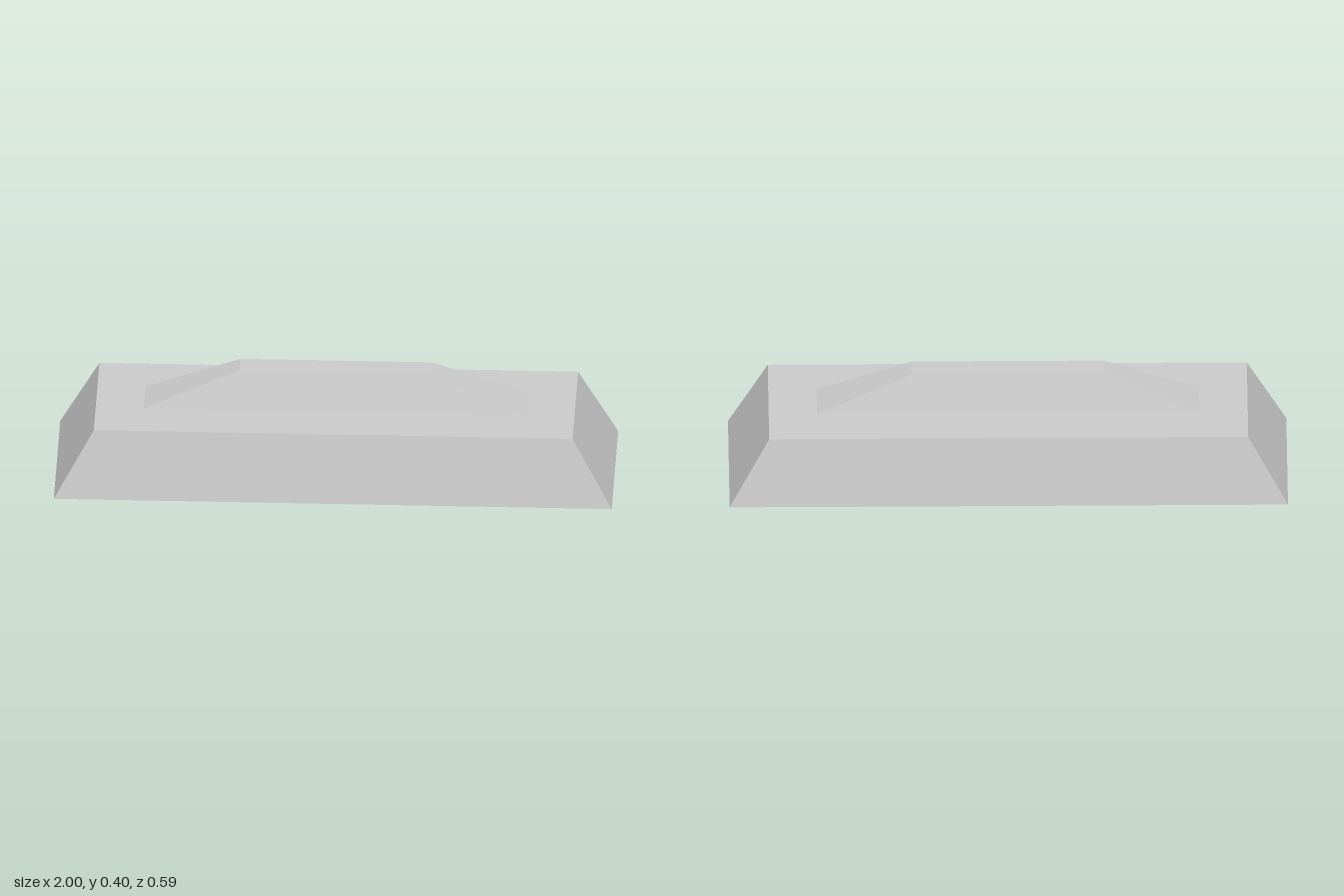
import * as THREE from 'three';

// Skins a stack of rectangular rings [halfX, y, halfZ] with flat quads and caps both ends.
function ringStack(name, rings) {
  const corners = rings.map(([x, y, z]) => [[x, y, z], [x, y, -z], [-x, y, -z], [-x, y, z]]);
  const positions = [];
  const quad = (a, b, c, d) => positions.push(...a, ...b, ...c, ...a, ...c, ...d);
  for (let i = 0; i < rings.length - 1; i++) {
    const low = corners[i], high = corners[i + 1];
    for (let j = 0; j < 4; j++) {
      const k = (j + 1) % 4;
      quad(low[j], low[k], high[k], high[j]);
    }
  }
  quad(...corners[0].slice().reverse());
  quad(...corners[corners.length - 1]);
  const geometry = new THREE.BufferGeometry();
  geometry.setAttribute('position', new THREE.Float32BufferAttribute(positions, 3));
  geometry.computeVertexNormals();
  const mesh = new THREE.Mesh(geometry, new THREE.MeshStandardMaterial({ color: 0xcccccc, flatShading: true }));
  mesh.name = name;
  return mesh;
}

export function createModel() {
  const group = new THREE.Group();
  group.name = 'ingotBlock';

  // Tapered body: recess ceiling, recess rim, outer foot, top face
  group.add(ringStack('body', [
    [0.874, 0.067, 0.237],
    [0.945, 0, 0.243],
    [1, 0, 0.297],
    [0.858, 0.26, 0.256],
  ]));

  // Narrow ridge along the top
  group.add(ringStack('ridge', [
    [0.685, 0.26, 0.086],
    [0.345, 0.4, 0.044],
  ]));

  return group;
}
